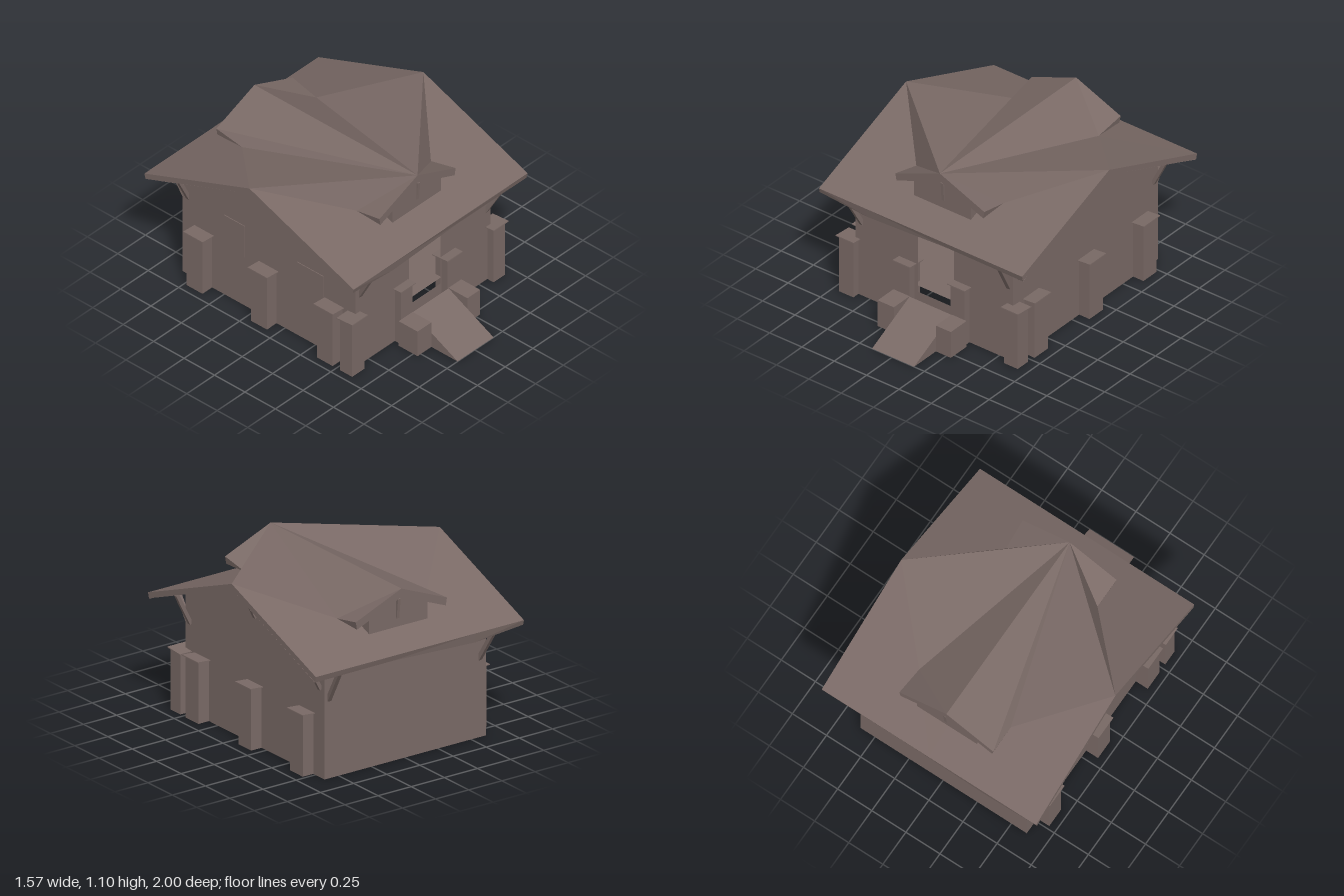
import * as THREE from 'three';

export function createModel() {
  const house = new THREE.Group();
  house.name = 'house';
  const mat = new THREE.MeshStandardMaterial({ color: 0x7a6a66, flatShading: true, side: THREE.DoubleSide });
  mat.name = 'warm brown';

  const add = (name, geo, x = 0, y = 0, z = 0) => {
    const m = new THREE.Mesh(geo, mat);
    m.name = name;
    m.position.set(x, y, z);
    house.add(m);
    return m;
  };
  // box given by its limits
  const box = (name, x0, x1, y0, y1, z0, z1) =>
    add(name, new THREE.BoxGeometry(x1 - x0, y1 - y0, z1 - z0), (x0 + x1) / 2, (y0 + y1) / 2, (z0 + z1) / 2);
  const points = pts => pts.map(p => new THREE.Vector2(...p));
  const shapeOf = pts => new THREE.Shape(points(pts));
  const plate = (shape, depth) => new THREE.ExtrudeGeometry(shape, { depth, bevelEnabled: false });
  // polygons (fans from their first point), built for the given sides of x = 0
  const faces = (name, polys, sides = [1, -1]) => {
    const pos = [];
    for (const s of sides) for (const p of polys)
      for (let i = 1; i < p.length - 1; i++) {
        const tri = s > 0 ? [p[0], p[i], p[i + 1]] : [p[0], p[i + 1], p[i]];
        for (const [x, y, z] of tri) pos.push(s * x, y, z);
      }
    const g = new THREE.BufferGeometry();
    g.setAttribute('position', new THREE.Float32BufferAttribute(pos, 3));
    g.computeVertexNormals();
    add(name, g);
  };
  // square beam between two points
  const beam = (name, a, b, t = 0.026) => {
    const A = new THREE.Vector3(...a), B = new THREE.Vector3(...b);
    const m = add(name, new THREE.BoxGeometry(t, t, A.distanceTo(B)));
    m.position.copy(A).add(B).multiplyScalar(0.5);
    m.lookAt(B);
  };

  // Walls and raised floor, as thin single surfaces
  const W = 0.605, WL = -0.613, ZF = 0.58, ZB = -0.845, RZ = -0.137, WY = 0.782, RY = 1.058;
  const front = shapeOf([[WL, 0], [W, 0], [W, WY], [WL, WY]]);
  front.holes.push(new THREE.Path(points([[-0.13, 0.205], [-0.13, 0.675], [0.15, 0.675], [0.15, 0.205]])));
  add('frontWall', new THREE.ShapeGeometry(front), 0, 0, ZF);
  const back = shapeOf([[-W, 0], [-WL, 0], [-WL, WY], [-W, WY]]);
  add('backWall', new THREE.ShapeGeometry(back), 0, 0, ZB).rotation.y = Math.PI;
  const gable = shapeOf([[-ZF, 0], [-ZB, 0], [-ZB, WY], [-RZ, RY], [-ZF, WY]]);
  for (const x of [W, WL]) add('gableWall', new THREE.ShapeGeometry(gable), x).rotation.y = Math.PI / 2;
  const floor = new THREE.PlaneGeometry(W - WL, ZF - ZB);
  add('floor', floor, (W + WL) / 2, 0.25, (ZF + ZB) / 2).rotation.x = -Math.PI / 2;
  box('sideWindow', WL - 0.005, WL, 0.37, 0.61, -0.5, -0.33);
  box('sideWindow', WL - 0.005, WL, 0.28, 0.56, 0.1, 0.32);

  // Roof: gable slopes and the folded faces meeting at the front dormer peak
  const H = 1.095, X = 0.785;
  const P = [0, H, 0.53], Pb = [0, H, -0.81], R = [X, H, RZ];
  const E = [0.344, 0.955, 0.53], Eb = [0.344, 0.955, -0.81];
  const V = [0.335, 0.913, 0.335], Vb = [0.335, 0.913, -0.607];
  const M = [0, 1.04, 0.006], Mb = [0, 1.04, -0.28];
  const C = [X, 0.763, 0.72], Cb = [X, 0.763, -1];
  faces('roofTop', [
    [P, E, V], [P, V, R], [P, R, Vb],
    [V, M, [0, 0.763, 0.72], C, R],
    [Vb, R, Cb, [0, 0.763, -1], Mb],
  ]);
  faces('dormerBackRight', [[P, Vb, Pb], [Vb, Eb, Pb]], [1]);
  faces('dormerBackLeft', [[P, Vb, Eb], [P, Eb, Pb]], [-1]);

  // Rake boards and gable soffits, then eave boards with a sagging lower edge
  const rake = [], eave = [];
  const sag = [[-X, 0.73], [-0.42, 0.7], [0.2, 0.727], [X, 0.724]];
  for (const [zt, zb, zw] of [[0.72, 0.71, ZF], [-1, -0.99, ZB]]) {
    rake.push(
      [[X, 0.763, zt], [X, 0.727, zb], [X, RY, RZ], R],
      [[W, WY, zw], [W, RY, RZ], [X, RY, RZ], [X, WY, zw]],
    );
    for (let i = 0; i < 3; i++) {
      const [x0, y0] = sag[i], [x1, y1] = sag[i + 1];
      eave.push(
        [[x0, 0.763, zt], [x0, y0, zb], [x1, y1, zb], [x1, 0.763, zt]],
        [[x0, y0, zb], [x0, WY, zw], [x1, WY, zw], [x1, y1, zb]],
      );
    }
  }
  faces('rakeBoard', rake);
  faces('eaveBoard', eave, [1]);

  // Dormer edges and soffits, front and back
  const dormer = [];
  for (const [p, e, v, m] of [[P, E, V, M], [Pb, Eb, Vb, Mb]]) {
    const z = p[2], eb = [0.335, 0.905, z], pb = [0, 1.04, z];
    dormer.push([p, pb, eb, e], [e, eb, v], [pb, m, v, eb]);
  }
  faces('dormerEdge', dormer);
  const dormerWall = shapeOf([[-0.21, 0.835], [0.228, 0.835], [0.228, 0.948], [0, 1.038], [-0.21, 0.954]]);
  add('dormerWall', plate(dormerWall, 0.14), 0, 0, 0.375);
  add('dormerWall', plate(dormerWall, 0.14), 0, 0, -0.79);
  beam('dormerBrace', [0.015, 1.03, 0.52], [0.015, 0.9, 0.51], 0.02);
  beam('dormerBrace', [0.015, 1.03, -0.8], [0.015, 0.9, -0.785], 0.02);

  // Diagonal eave braces
  for (const s of [1, -1]) {
    beam('eaveBrace', [s * 0.585, 0.735, 0.69], [s * 0.568, 0.52, ZF - 0.01]);
    beam('eaveBrace', [s * 0.585, 0.735, -0.97], [s * 0.568, 0.51, ZB + 0.01]);
    for (const [z, y] of [[0.53, 0.79], [RZ, 1.045], [-0.8, 0.79]])
      beam('gableBrace', [s * 0.71, y, z], [s * 0.605, y - 0.21, z], 0.024);
  }

  // Pillars, open at the foot, with thin caps tilted up on the outer side
  const shaft = new THREE.CylinderGeometry(Math.SQRT1_2, Math.SQRT1_2, 1, 4, 1, true).rotateY(Math.PI / 4);
  const post = (name, x0, x1, h, z0, z1) =>
    add(name, shaft, (x0 + x1) / 2, h / 2, (z0 + z1) / 2).scale.set(x1 - x0, h, z1 - z0);
  const pillar = (x0, x1, z0, z1, tiltX, tiltZ) => {
    post('pillar', x0, x1, 0.4, z0, z1);
    box('pillarCap', x0 - 0.015, x1 + 0.015, 0.4, 0.406, z0 - 0.015, z1 + 0.015).rotation.set(tiltX, 0, tiltZ);
  };
  for (const [x0, x1] of [[-0.7, -0.59], [-0.26, -0.155], [0.16, 0.268], [0.575, 0.68]])
    pillar(x0, x1, 0.53, 0.63, -0.08, 0);
  for (const z of [0.405, -0.135, -0.665]) {
    pillar(-0.7, -0.6, z - 0.065, z + 0.065, 0, -0.08);
    pillar(0.59, 0.685, z - 0.065, z + 0.065, 0, 0.08);
  }

  // Entrance ramp and open-footed cheek blocks
  const ramp = shapeOf([[-1, 0], [-0.63, 0], [-0.63, 0.185]]);
  add('ramp', plate(ramp, 0.325), -0.155).rotation.y = Math.PI / 2;
  for (const [x0, x1] of [[-0.28, -0.155], [0.17, 0.285]]) {
    post('rampBlock', x0, x1, 0.188, 0.63, 0.785);
    box('rampBlockTop', x0, x1, 0.184, 0.188, 0.63, 0.785);
  }

  return house;
}
